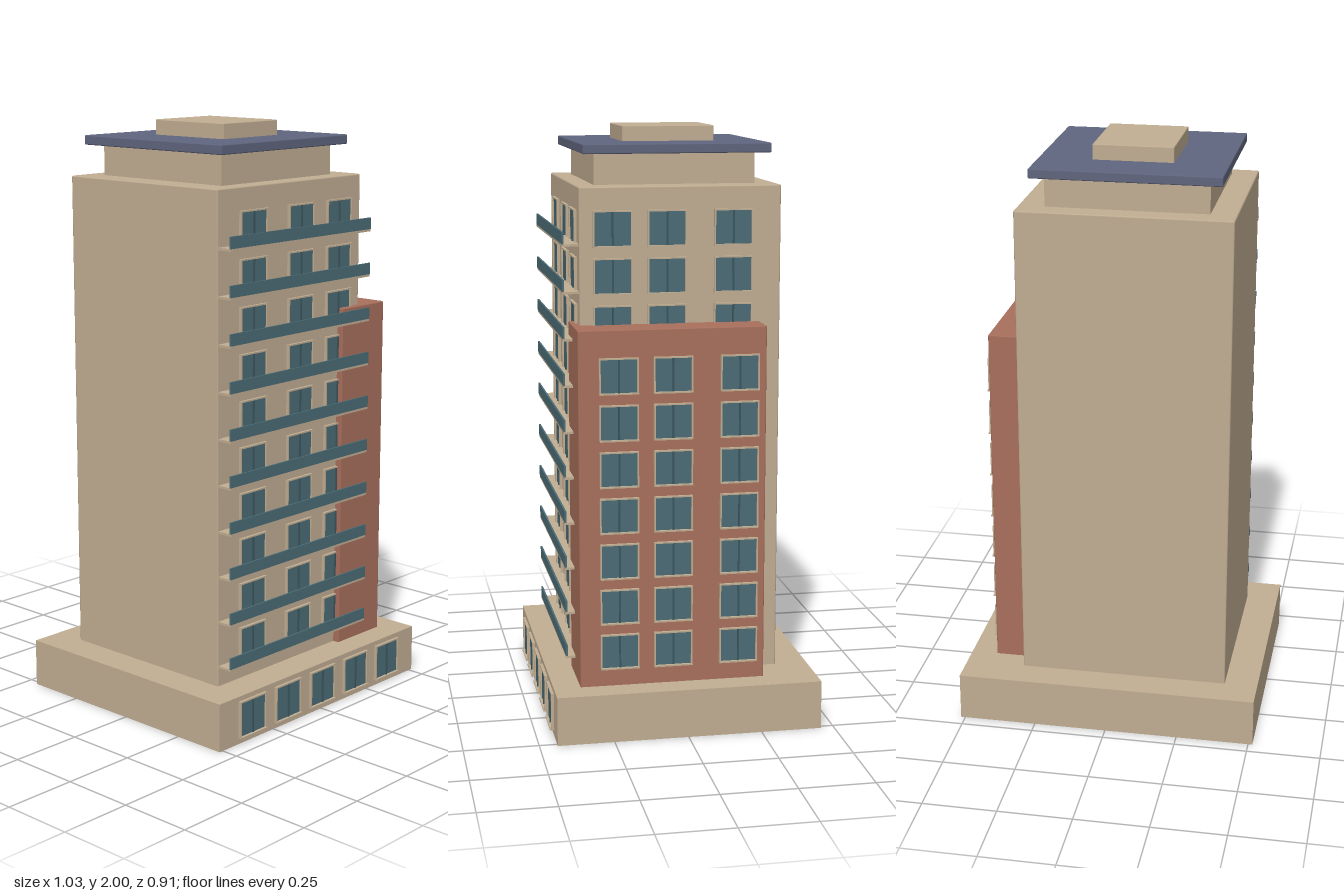
import * as THREE from 'three';
import { RoundedBoxGeometry } from 'three/addons/geometries/RoundedBoxGeometry.js';

const makeMat = (name, color) => {
  const m = new THREE.MeshStandardMaterial({ color });
  m.name = name;
  return m;
};

export function createModel() {
  const stone = makeMat('sandStone', 0xc0ad92);
  const brick = makeMat('redBrick', 0xa86f5c);
  const glass = makeMat('tealGlass', 0x4b6c75);
  const slate = makeMat('slateRoof', 0x5f657e);
  const mullionMat = makeMat('darkMullion', 0x3c565e);

  const model = new THREE.Group();
  model.name = 'towerBlock';

  // Box given by its extents; an optional bevel softens the edges
  function box(parent, name, mat, [x0, x1], [y0, y1], [z0, z1], bevel = 0) {
    const w = x1 - x0, h = y1 - y0, d = z1 - z0;
    const geo = bevel ? new RoundedBoxGeometry(w, h, d, 1, bevel) : new THREE.BoxGeometry(w, h, d);
    const mesh = new THREE.Mesh(geo, mat);
    mesh.name = name;
    mesh.position.set((x0 + x1) / 2, (y0 + y1) / 2, (z0 + z1) / 2);
    parent.add(mesh);
    return mesh;
  }

  // Main masses
  box(model, 'podium', stone, [-0.515, 0.515], [0, 0.165], [-0.455, 0.44]);
  box(model, 'tower', stone, [-0.402, 0.312], [0.16, 1.815], [-0.345, 0.327], 0.005);
  box(model, 'brickWing', brick, [0.2, 0.425], [0.16, 1.365], [-0.275, 0.35], 0.004);
  box(model, 'penthouse', stone, [-0.315, 0.224], [1.81, 1.92], [-0.275, 0.265]);
  box(model, 'roofSlab', slate, [-0.36, 0.267], [1.917, 1.949], [-0.323, 0.306], 0.004);
  box(model, 'roofCap', stone, [-0.18, 0.088], [1.945, 2], [-0.165, 0.147], 0.003);

  // Window centred on its group's origin, facing +z: frame, two panes, sill
  function addWindow(x, y, z, turn = 0, h = 0.11) {
    const win = new THREE.Group();
    win.name = 'window';
    const w = 0.06, t = 0.005, k = h / 2;
    box(win, 'pane', glass, [-w, w], [-k, k], [-0.002, 0.004]);
    box(win, 'centreMullion', mullionMat, [-0.003, 0.003], [-k, k], [0, 0.008]);
    for (const s of [-1, 1]) {
      const e = s * w;
      box(win, 'frameSide', stone, [Math.min(e, e + s * t), Math.max(e, e + s * t)], [-k, k], [-0.002, 0.01]);
    }
    box(win, 'frameHead', stone, [-w - t, w + t], [k, k + t], [-0.002, 0.01]);
    box(win, 'sill', stone, [-w - t, w + t], [-k - t, -k], [-0.002, 0.014]);
    win.position.set(x, y, z);
    win.rotation.y = turn;
    model.add(win);
  }

  // Ten storeys: front windows, balconies and side windows
  const pitch = 0.155;
  for (let floor = 0; floor < 10; floor++) {
    const y = 0.284 + floor * pitch;
    for (const x of [-0.235, 0, 0.196]) addWindow(x, y, 0.327);

    const sideX = floor < 7 ? 0.425 : 0.312;
    for (const z of [0.217, 0.037, -0.185]) addWindow(sideX, y, z, Math.PI / 2);

    const balcony = new THREE.Group();
    balcony.name = 'balcony';
    const b = 0.228 + floor * pitch;
    box(balcony, 'balconySlab', stone, [-0.398, 0.305], [b, b + 0.008], [0.322, 0.381]);
    box(balcony, 'balconyRail', glass, [-0.398, 0.305], [b + 0.008, b + 0.047], [0.376, 0.382]);
    model.add(balcony);
  }

  // Ground floor windows
  for (const x of [-0.359, -0.18, 0, 0.18, 0.358]) addWindow(x, 0.084, 0.44, 0, 0.118);

  return model;
}
